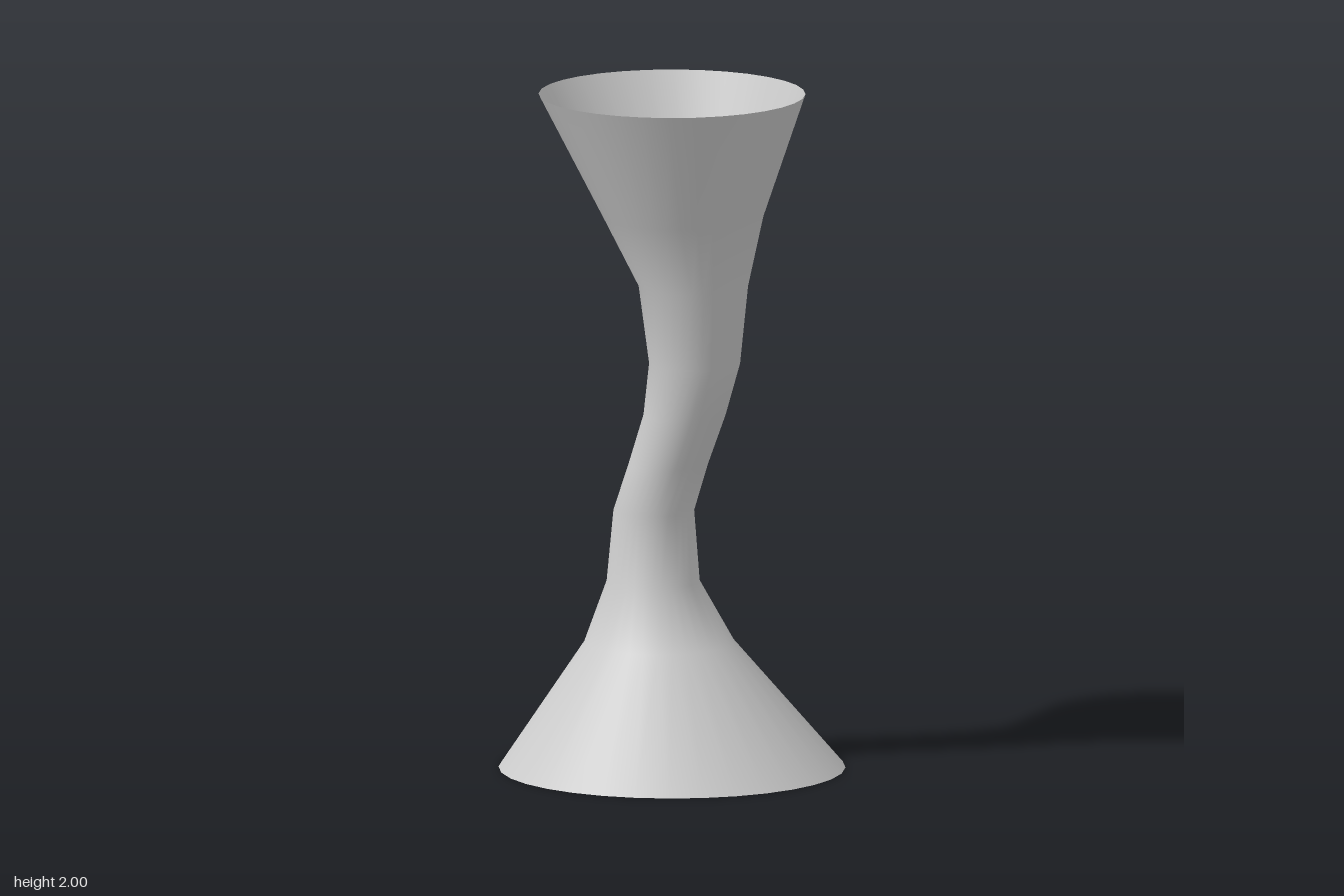
import * as THREE from 'three';
import { mergeVertices } from 'three/addons/utils/BufferGeometryUtils.js';

// Horizontal rings from top to bottom: [height, radius, sideways offset]
const RINGS = [
  [2.0, 0.39, 0],
  [1.64, 0.235, 0.035],
  [1.435, 0.16, 0.068],
  [1.205, 0.133, 0.072],
  [1.05, 0.12, 0.04],
  [0.9, 0.116, -0.012],
  [0.76, 0.118, -0.058],
  [0.55, 0.136, -0.06],
  [0.37, 0.22, -0.04],
  [0, 0.507, 0],
];
const SIDES = 32;

export function createModel() {
  const group = new THREE.Group();
  group.name = 'flaredStand';

  // Open unit tube whose rings are resized and shifted to follow the bent stem
  let geometry = new THREE.CylinderGeometry(1, 1, 1, SIDES, RINGS.length - 1, true);
  const position = geometry.attributes.position;
  for (let i = 0; i < position.count; i++) {
    const [height, radius, offset] = RINGS[Math.floor(i / (SIDES + 1))];
    position.setXYZ(i, position.getX(i) * radius + offset, height, position.getZ(i) * radius);
  }

  // Weld the seam so the shading stays smooth all the way round
  geometry.deleteAttribute('uv');
  geometry.deleteAttribute('normal');
  geometry = mergeVertices(geometry, 1e-4);
  geometry.computeVertexNormals();

  const material = new THREE.MeshStandardMaterial({ color: 0xcccccc, side: THREE.DoubleSide });
  const body = new THREE.Mesh(geometry, material);
  body.name = 'twistedHourglassBody';
  group.add(body);
  return group;
}
